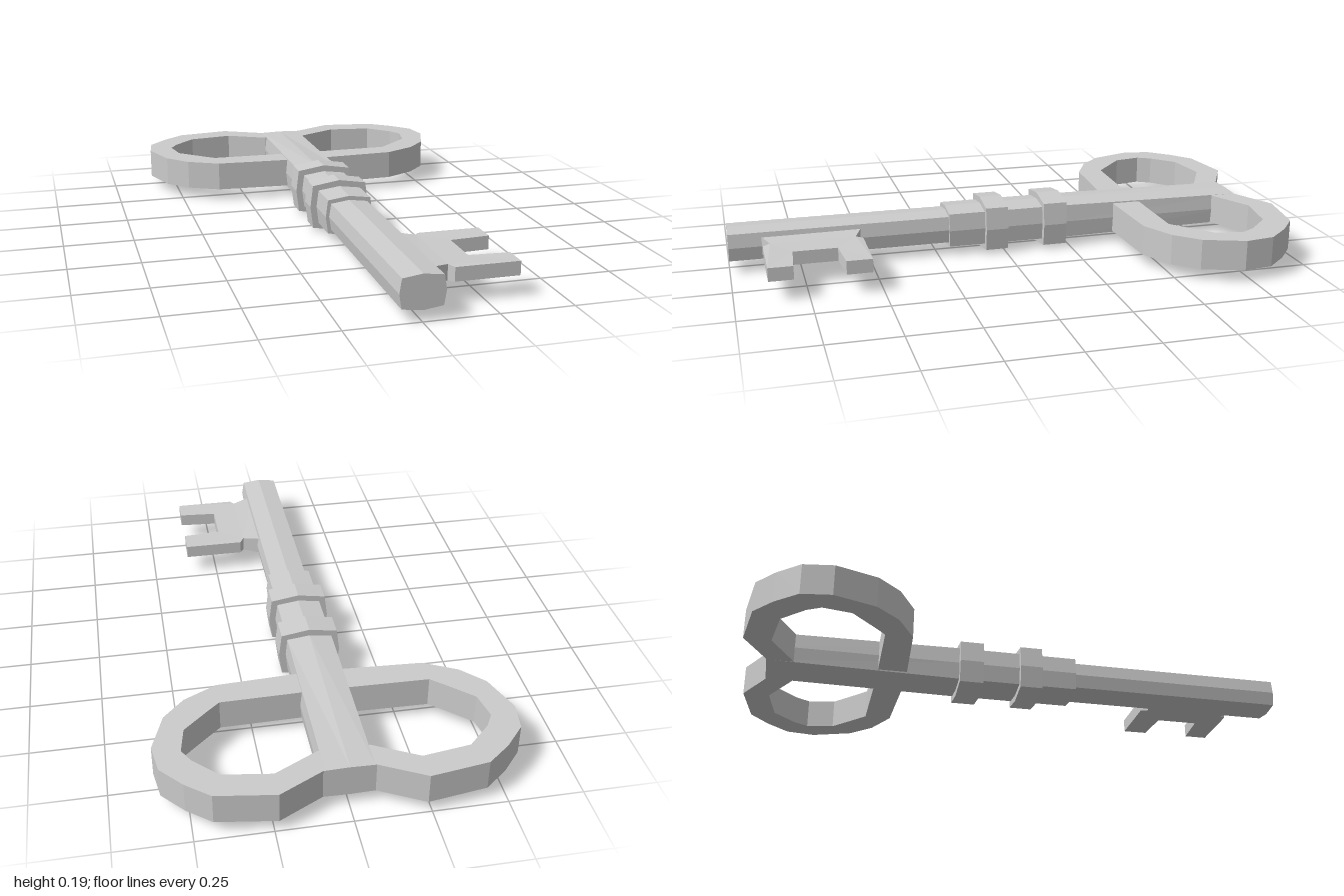
import * as THREE from 'three';

const material = new THREE.MeshStandardMaterial({ color: 0xcccccc, flatShading: true });
const MID = 0.1; // height of the key's centre line

function shapeOf(points) {
  return new THREE.Shape(points.map(([x, y]) => new THREE.Vector2(x, y)));
}

// Move every vertex of a geometry by a rule
function reshape(geometry, rule) {
  const p = geometry.attributes.position;
  const v = new THREE.Vector3();
  for (let i = 0; i < p.count; i++) {
    rule(v.fromBufferAttribute(p, i));
    p.setXYZ(i, v.x, v.y, v.z);
  }
  geometry.computeVertexNormals();
  return geometry;
}

// Bar along z with a bulged square section: side and top reach, corner position
function bar(z0, z1, side, top, cx, cy) {
  const section = shapeOf([
    [0, top], [-cx, cy], [-side, 0], [-cx, -cy],
    [0, -top], [cx, -cy], [side, 0], [cx, cy],
  ]);
  return new THREE.ExtrudeGeometry(section, { depth: z1 - z0, bevelEnabled: false })
    .translate(0, 0, z0);
}

// Flat plate from an outline of [x, z] points, centred on y = 0
function plate(outline, thickness) {
  return new THREE.ExtrudeGeometry(shapeOf(outline.map(([x, z]) => [x, -z])),
    { depth: thickness, bevelEnabled: false })
    .rotateX(-Math.PI / 2)
    .translate(0, -thickness / 2, 0);
}

export function createModel() {
  const key = new THREE.Group();
  key.name = 'key';
  const add = (name, geometry) => {
    const mesh = new THREE.Mesh(geometry, material);
    mesh.name = name;
    mesh.position.y = MID;
    key.add(mesh);
  };

  // Shaft, thicker middle sleeve and two collars
  add('shaft', bar(0.2, 1, 0.075, 0.058, 0.067, 0.049));
  add('sleeve', bar(-0.23, 0.21, 0.087, 0.073, 0.079, 0.062));
  add('frontCollar', bar(-0.005, 0.077, 0.11, 0.096, 0.1, 0.08));
  add('rearCollar', bar(-0.23, -0.143, 0.11, 0.096, 0.1, 0.08));

  // Stem running through the bow, flattening toward its rear end
  add('stem', reshape(bar(-0.92, -0.22, 0.086, 0.072, 0.08, 0.062), (v) => {
    if (v.z < -0.9) v.y *= Math.abs(v.x) < 0.01 ? 0.78 : 0.87;
  }));

  // Bow: one open loop on each side of the stem
  const outer = [
    [0.06, -0.92], [0.085, -0.92], [0.235, -1], [0.435, -0.97], [0.515, -0.905],
    [0.585, -0.825], [0.6, -0.72], [0.55, -0.575], [0.475, -0.495], [0.36, -0.435],
    [0.06, -0.42],
  ];
  const inner = [
    [0.06, -0.525], [0.36, -0.53], [0.41, -0.575], [0.49, -0.65], [0.508, -0.75],
    [0.48, -0.8], [0.4, -0.88], [0.235, -0.905], [0.085, -0.825], [0.06, -0.825],
  ];
  for (const [name, s] of [['leftBowLoop', 1], ['rightBowLoop', -1]]) {
    const outline = [...outer, ...inner].map(([x, z]) => [s * x, z]);
    add(name, plate(outline, 0.108));
  }

  // Bit with two teeth, its root flaring toward the shaft
  const bit = plate([
    [0.05, 0.53], [0.07, 0.535], [0.13, 0.56], [0.145, 0.535], [0.365, 0.535],
    [0.365, 0.625], [0.225, 0.635], [0.225, 0.79], [0.365, 0.8], [0.365, 0.885],
    [0.145, 0.885], [0.13, 0.86], [0.07, 0.885], [0.05, 0.89],
  ], 0.048);
  add('bit', reshape(bit, (v) => {
    if (v.x < 0.1) v.y *= 1.35;
    else if (v.x < 0.14) v.y *= 1.12;
  }));

  return key;
}
